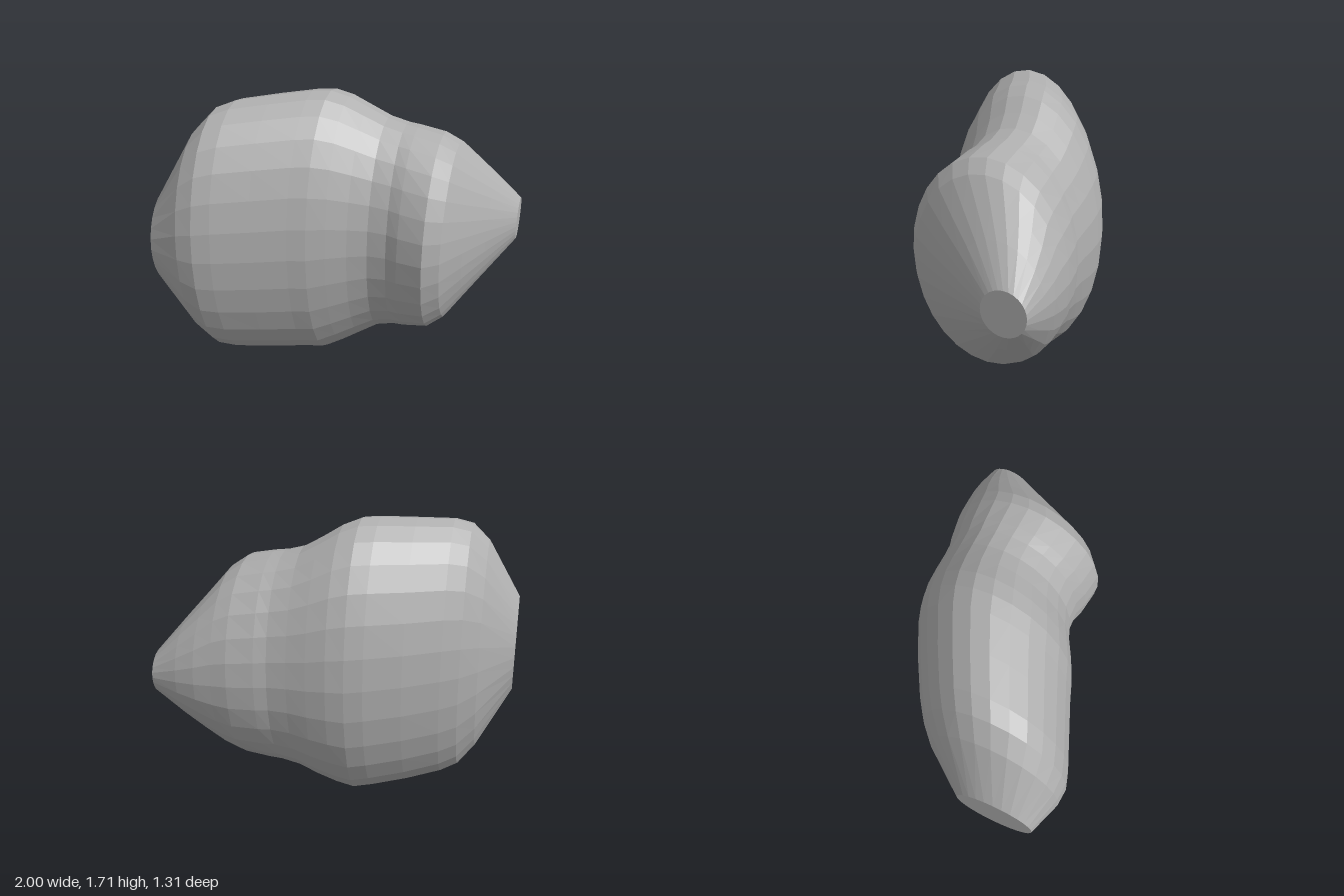
import * as THREE from 'three';

// Elliptical cross-sections across the body: x, back z, front z, bottom y, top y
const RINGS = [
  [-1.0, 0.10, 0.57, 0.56, 1.16],
  [-0.8, -0.165, 0.642, 0.20, 1.53],
  [-0.7, -0.26, 0.65, 0.08, 1.64],
  [-0.6, -0.33, 0.62, 0.045, 1.675],
  [-0.4, -0.445, 0.54, 0.02, 1.695],
  [-0.2, -0.545, 0.46, 0.006, 1.712],
  [-0.1, -0.58, 0.425, 0.0, 1.712],
  [0.0, -0.597, 0.375, 0.045, 1.675],
  [0.11, -0.602, 0.315, 0.105, 1.61],
  [0.22, -0.602, 0.272, 0.17, 1.55],
  [0.33, -0.607, 0.27, 0.20, 1.52],
  [0.4, -0.627, 0.295, 0.21, 1.51],
  [0.55, -0.652, 0.32, 0.24, 1.48],
  [0.64, -0.653, 0.25, 0.30, 1.42],
  [0.74, -0.656, 0.085, 0.42, 1.30],
  [0.85, -0.647, -0.105, 0.55, 1.17],
  [1.0, -0.62, -0.36, 0.73, 0.99],
];
const SIDES = 28;

// Skin joining neighbouring rings, closed with a flat fan at each end
function loftGeometry(rings, sides) {
  const positions = [];
  const index = [];
  for (const [x, back, front, bottom, top] of rings) {
    for (let i = 0; i < sides; i++) {
      const a = (i / sides) * Math.PI * 2;
      positions.push(
        x,
        (bottom + top) / 2 + ((top - bottom) / 2) * Math.sin(a),
        (back + front) / 2 + ((front - back) / 2) * Math.cos(a),
      );
    }
  }
  for (let r = 0; r < rings.length - 1; r++) {
    for (let i = 0; i < sides; i++) {
      const j = (i + 1) % sides;
      const a = r * sides + i;
      const b = r * sides + j;
      index.push(a, a + sides, b, b, a + sides, b + sides);
    }
  }
  const last = (rings.length - 1) * sides;
  for (let i = 1; i < sides - 1; i++) {
    index.push(0, i, i + 1);
    index.push(last, last + i + 1, last + i);
  }
  const geometry = new THREE.BufferGeometry();
  geometry.setAttribute('position', new THREE.Float32BufferAttribute(positions, 3));
  geometry.setIndex(index);
  // Separate the faces so each facet keeps its own normal
  const faceted = geometry.toNonIndexed();
  faceted.computeVertexNormals();
  return faceted;
}

export function createModel() {
  const model = new THREE.Group();
  model.name = 'bentBody';

  const grey = new THREE.MeshStandardMaterial({ color: 0xb0b0b0 });
  grey.name = 'grey';
  grey.flatShading = true;

  // Bulging body with a waist and a tapered tip
  const body = new THREE.Mesh(loftGeometry(RINGS, SIDES), grey);
  body.name = 'body';
  model.add(body);

  return model;
}
